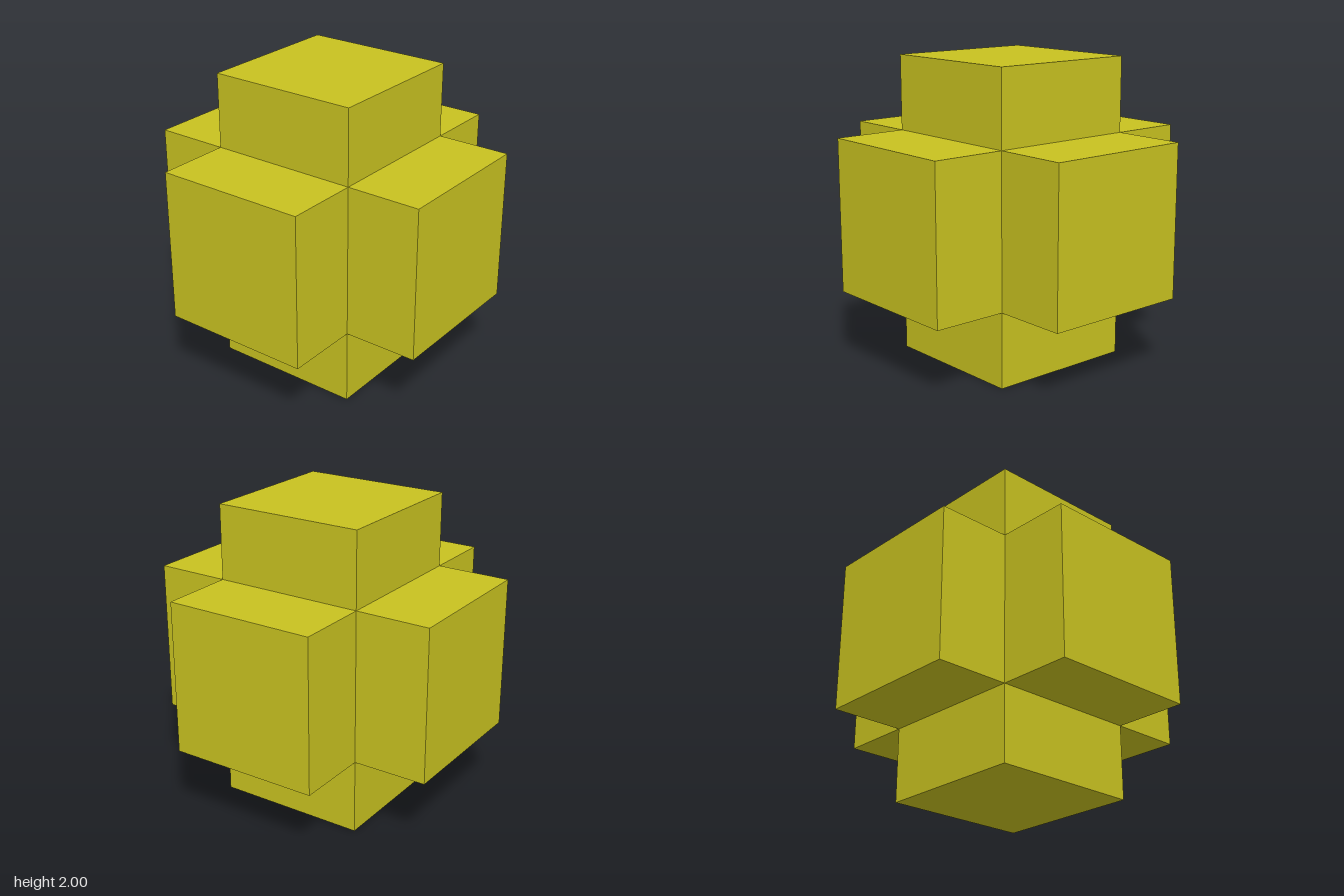
import * as THREE from 'three';

const LENGTH = 2;
const THICK = 1.01;

export function createModel() {
  const model = new THREE.Group();
  model.name = 'blockCross';
  const material = new THREE.MeshStandardMaterial({ color: 0xc8c220 });

  // Three equal square bars crossing at the centre, one along each axis
  const bars = [
    ['sideBar', LENGTH, THICK, THICK],
    ['uprightBar', THICK, LENGTH, THICK],
    ['depthBar', THICK, THICK, LENGTH],
  ];
  for (const [name, w, h, d] of bars) {
    const bar = new THREE.Mesh(new THREE.BoxGeometry(w, h, d), material);
    bar.name = name;
    bar.position.y = LENGTH / 2;
    model.add(bar);
  }
  return model;
}
